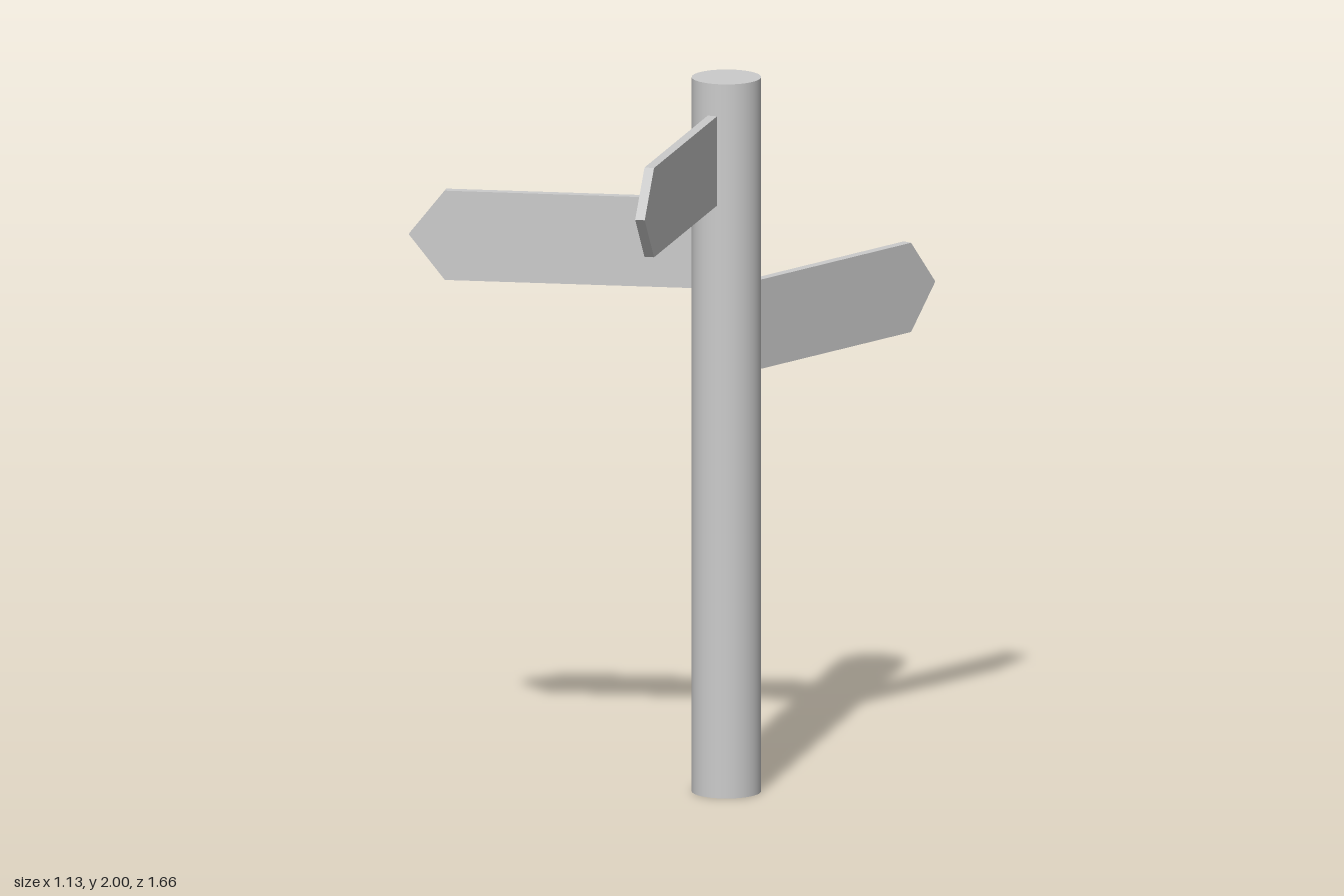
import * as THREE from 'three';

const material = new THREE.MeshStandardMaterial({ color: 0xcccccc });

// Pointed board running along +x from its root, extruded about its mid-plane
function arrowGeometry(length, height, point, thickness) {
  const h = height / 2;
  const shape = new THREE.Shape([
    new THREE.Vector2(0, -h),
    new THREE.Vector2(length - point, -h),
    new THREE.Vector2(length, 0),
    new THREE.Vector2(length - point, h),
    new THREE.Vector2(0, h),
  ]);
  const geometry = new THREE.ExtrudeGeometry(shape, { depth: thickness, bevelEnabled: false });
  return geometry.translate(0, 0, -thickness / 2);
}

export function createModel() {
  const model = new THREE.Group();
  model.name = 'signpost';

  // Round post
  const post = new THREE.Mesh(new THREE.CylinderGeometry(0.095, 0.095, 2, 48), material);
  post.name = 'post';
  post.position.set(0.177, 1, 0.042);
  model.add(post);

  // Three direction boards: root and tip in plan, and centre height
  const boards = [
    { name: 'upperBoard', root: [0.203, 0.127], tip: [0.554, 0.825], y: 1.785 },
    { name: 'middleBoard', root: [0.098, 0.09], tip: [-0.561, 0.516], y: 1.533 },
    { name: 'lowerBoard', root: [0.152, -0.048], tip: [0.152, -0.833], y: 1.28 },
  ];
  for (const { name, root, tip, y } of boards) {
    const dx = tip[0] - root[0];
    const dz = tip[1] - root[1];
    const board = new THREE.Mesh(arrowGeometry(Math.hypot(dx, dz), 0.25, 0.1, 0.027), material);
    board.name = name;
    board.position.set(root[0], y, root[1]);
    board.rotation.y = Math.atan2(-dz, dx);
    model.add(board);
  }
  return model;
}
